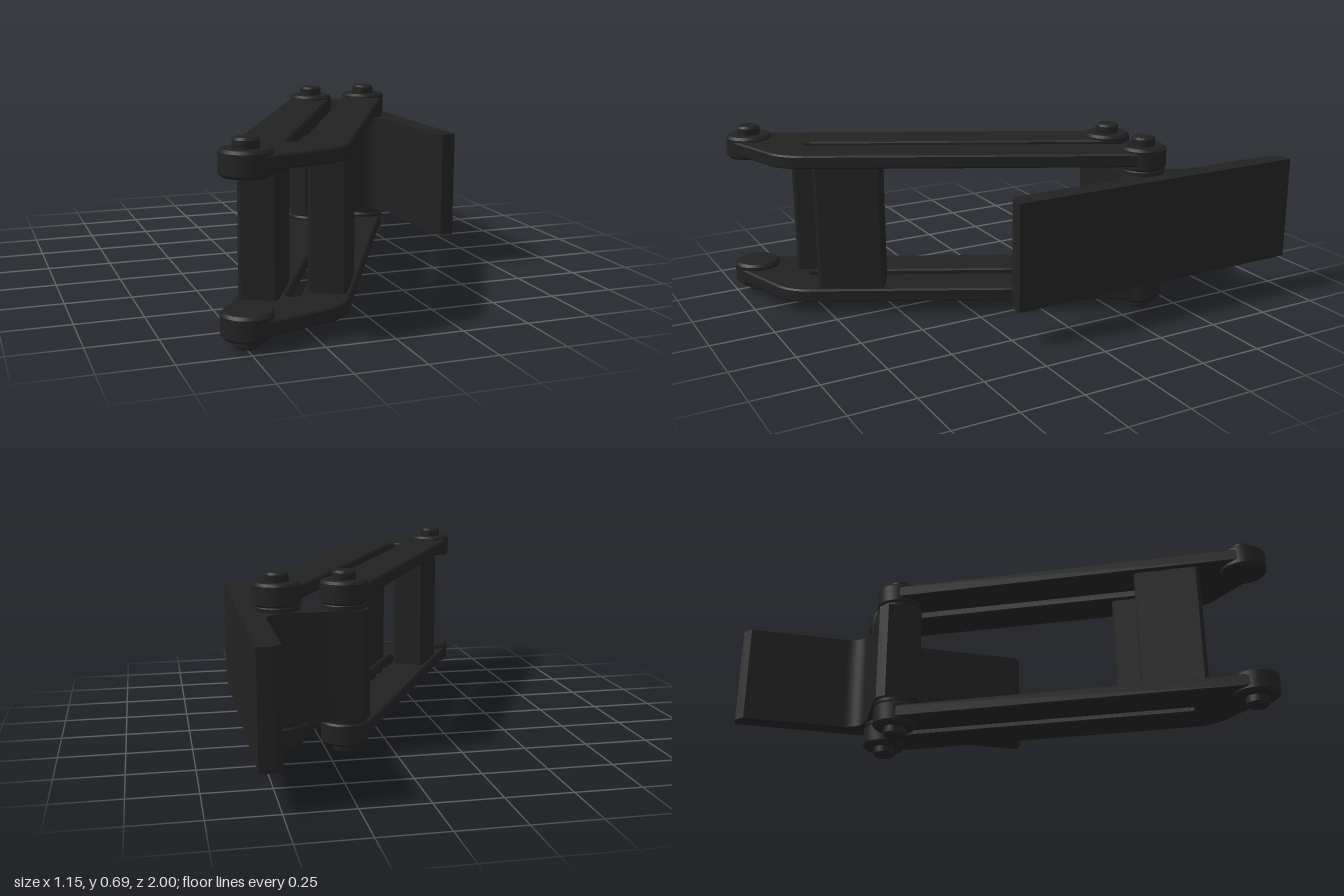
import * as THREE from 'three';
import { toCreasedNormals } from 'three/addons/utils/BufferGeometryUtils.js';

const MID = 0.3475; // height of the mirror plane
const ANGLE = Math.atan2(-0.464, 0.886); // direction across the arm bars
const ACROSS = { x: Math.cos(ANGLE), z: -Math.sin(ANGLE) };
const ALONG = { x: -ACROSS.z, z: ACROSS.x };
const PIVOT_A = { x: 0.18, z: -0.37 };
const PIVOT_B = { x: 0.43, z: -0.37 };
const PIVOT_C = { x: -0.49, z: 0.91 };

const material = new THREE.MeshStandardMaterial({ color: 0x222222 });

function addMesh(parent, name, geometry) {
  const mesh = new THREE.Mesh(toCreasedNormals(geometry, 0.5), material);
  mesh.name = name;
  parent.add(mesh);
  return mesh;
}

// Extrudes a plan shape (drawn as x, -z) upwards from y0 to y1
function slab(shape, y0, y1, bevel = 0) {
  const g = new THREE.ExtrudeGeometry(shape, {
    depth: y1 - y0 - 2 * bevel, curveSegments: 20, bevelEnabled: bevel > 0,
    bevelThickness: bevel, bevelSize: bevel, bevelOffset: -bevel, bevelSegments: 1,
  });
  g.translate(0, 0, bevel);
  g.rotateX(-Math.PI / 2);
  g.translate(0, y0, 0);
  return g;
}

// Cylinder with chamfered rims
function disc(r, y0, y1, c) {
  const profile = [[0, y0], [r - c, y0], [r, y0 + c], [r, y1 - c], [r - c, y1], [0, y1]];
  return new THREE.LatheGeometry(profile.map(([x, y]) => new THREE.Vector2(x, y)), 40);
}

// Two parallel bars joined at the far end, with an open slot between them
function armShape() {
  const r = 0.085, flip = ANGLE + Math.PI;
  const s = new THREE.Shape();
  s.absarc(PIVOT_C.x, -PIVOT_C.z, 0.087, flip, Math.atan2(-0.957, 0.29) + 2 * Math.PI, false);
  s.lineTo(-0.205, -0.917);
  s.quadraticCurveTo(-0.135, -0.893, -0.098, -0.821);
  s.absarc(PIVOT_B.x, -PIVOT_B.z, r, ANGLE, flip, false);
  s.absarc(-0.27, -0.73, 0.025, ANGLE, ANGLE - Math.PI, true);
  s.absarc(PIVOT_A.x, -PIVOT_A.z, r, ANGLE, flip, false);
  s.closePath();
  return s;
}

// Chamfered rectangle aligned with the bars
function postShape(cx, cz) {
  const w = 0.07, l = 0.13, c = 0.012;
  const corners = [[w - c, l], [w, l - c], [w, c - l], [w - c, -l],
    [c - w, -l], [-w, c - l], [-w, l - c], [c - w, l]];
  return new THREE.Shape(corners.map(([u, v]) => new THREE.Vector2(
    cx + u * ACROSS.x + v * ALONG.x, -(cz + u * ACROSS.z + v * ALONG.z))));
}

// Mounting plate and hinge block in one filleted profile
function bracketShape() {
  const s = new THREE.Shape();
  s.moveTo(0.575, 1);
  s.lineTo(0.522, 1);
  s.lineTo(0.49, 0.968);
  s.lineTo(0.49, 0.55);
  s.absarc(0.4, 0.55, 0.09, 0, -Math.PI / 2, true);
  s.lineTo(0.127, 0.46);
  s.lineTo(0.093, 0.428);
  s.lineTo(0.093, 0.312);
  s.lineTo(0.127, 0.28);
  s.lineTo(0.4, 0.28);
  s.absarc(0.4, 0.19, 0.09, Math.PI / 2, 0, true);
  s.lineTo(0.49, -0.228);
  s.lineTo(0.522, -0.26);
  s.lineTo(0.575, -0.26);
  s.closePath();
  return s;
}

export function createModel() {
  const model = new THREE.Group();
  model.name = 'hingeArm';

  addMesh(model, 'mountingBracket', slab(bracketShape(), 0.14, 0.555));
  addMesh(model, 'outerPost', slab(postShape(-0.348, 0.64), 0.095, 0.6));
  addMesh(model, 'innerPost', slab(postShape(-0.097, 0.64), 0.095, 0.6));

  // Upper and lower arms with their pivots
  for (const upper of [false, true]) {
    const side = new THREE.Group();
    side.name = upper ? 'upperArm' : 'lowerArm';
    const span = (a, b) => (upper ? [2 * MID - b, 2 * MID - a] : [a, b]);

    addMesh(side, 'armPlate', slab(armShape(), ...span(0.051, 0.103), 0.006));
    for (const [name, p] of Object.entries({ hinge: PIVOT_A, plate: PIVOT_B, end: PIVOT_C })) {
      const pivot = new THREE.Group();
      pivot.name = name + 'Pivot';
      pivot.position.set(p.x, 0, p.z);
      addMesh(pivot, 'boss', disc(0.09, ...span(0.035, 0.125), 0.01));
      addMesh(pivot, 'pin', disc(0.045, ...span(0, 0.06), 0.008));
      if (name !== 'end') addMesh(pivot, 'washer', disc(0.086, ...span(0.12, 0.145), 0.006));
      side.add(pivot);
    }
    model.add(side);
  }
  return model;
}
